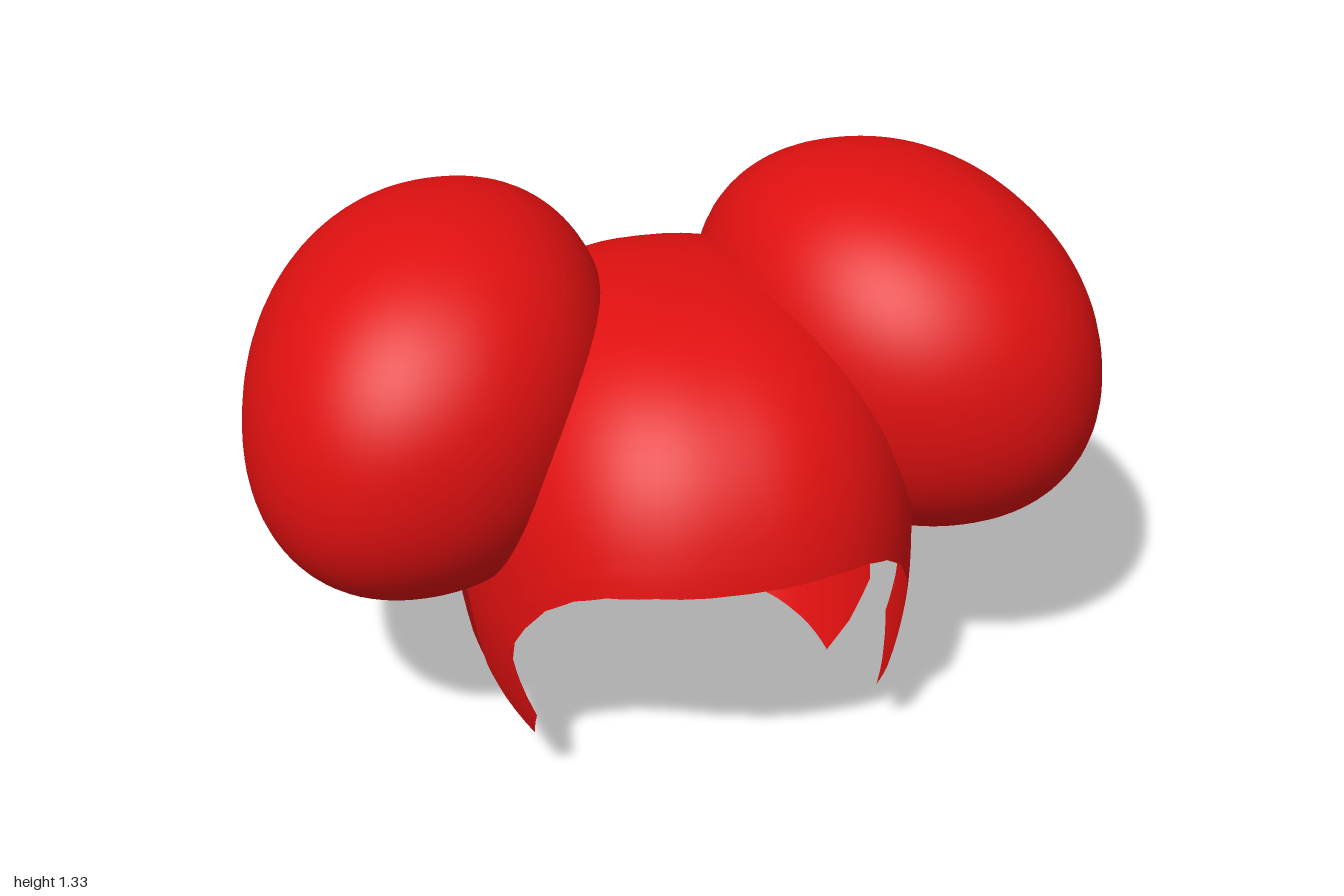
import * as THREE from 'three';

const TOP = 1.13;

// Horizontal section of the cap at height y: half-width, front depth, back depth
function section(y) {
  if (y >= 0.5) {
    const q = Math.min((y - 0.5) / (TOP - 0.5), 1);
    const r = Math.pow(1 - Math.pow(q, 2.5), 1 / 2.5);
    return { w: 0.53 * r, f: 0.65 * r, b: 0.64 * r };
  }
  const d = (0.5 - y) / 0.5;
  return { w: 0.53 - 0.12 * d * d, f: 0.65 - 0.18 * d * d, b: 0.64 - 0.2 * Math.pow(d, 1.6) };
}

// Angle around the cap (0 = front, PI = back) of a point at depth z and height y
function angleAt(z, y) {
  const s = section(y);
  return Math.acos(THREE.MathUtils.clamp(z > 0 ? z / s.f : z / s.b, -1, 1));
}

// Hemline from the front centre to the back centre: [depth higher up, hem depth, hem height]
const HEM = [
  [0.7, 0.7, 0.68], [0.61, 0.61, 0.68], [0.56, 0.56, 0.665], [0.51, 0.51, 0.635],
  [0.45, 0.45, 0.58], [0.39, 0.39, 0.5], [0.36, 0.35, 0.44], [0.335, 0.315, 0.34],
  [0.31, 0.36, 0.24], [0.25, 0.3, 0.15], [0.19, 0.2, 0.19], [0.15, 0.12, 0.23],
  [0.125, 0.12, 0.33], [0.1, 0.1, 0.42], [0.05, 0.05, 0.46], [-0.06, -0.06, 0.45],
  [-0.13, -0.14, 0.36], [-0.17, -0.03, 0.23], [-0.21, -0.05, 0.1], [-0.26, -0.08, 0],
  [-0.33, -0.18, 0.012], [-0.43, -0.3, 0.025], [-0.53, -0.4, 0.035], [-0.6, -0.44, 0.04],
  [-0.7, -0.7, 0.04],
];

// Open hair cap with a face opening, sideburns and ear notches
function capGeometry() {
  const SUB = 3, UPPER = 16, LOWER = 8;
  const keys = HEM.map(([zu, ze, ye]) => {
    const yu = Math.max(ye + 0.06, 0.52);
    return [angleAt(zu, yu), yu, angleAt(ze, ye), ye];
  });
  const half = [];
  for (let k = 0; k < keys.length - 1; k++)
    for (let s = 0; s < SUB; s++)
      half.push(keys[k].map((v, c) => THREE.MathUtils.lerp(v, keys[k + 1][c], s / SUB)));
  half.push(keys[keys.length - 1]);
  const mirrored = half.slice(1, -1).reverse().map(([au, yu, ae, ye]) => [-au, yu, -ae, ye]);
  const cols = [...half, ...mirrored];

  const pos = [], index = [], rows = UPPER + LOWER + 1;
  for (const [au, yu, ae, ye] of cols) {
    for (let i = 0; i < rows; i++) {
      let a = au, y;
      if (i <= UPPER) {
        y = TOP - (TOP - yu) * (1 - Math.cos((i / UPPER) * Math.PI / 2));
      } else {
        const t = (i - UPPER) / LOWER;
        a = THREE.MathUtils.lerp(au, ae, t * t);
        y = THREE.MathUtils.lerp(yu, ye, t);
      }
      // Sides a little flatter than an ellipse
      const s = section(y), c = Math.cos(a), n = Math.sin(a);
      pos.push(s.w * Math.sign(n) * Math.pow(Math.abs(n), 0.8), y, c * (c > 0 ? s.f : s.b));
    }
  }
  for (let j = 0; j < cols.length; j++) {
    const p = j * rows, q = ((j + 1) % cols.length) * rows;
    for (let i = 0; i < rows - 1; i++) {
      if (i > 0) index.push(p + i, p + i + 1, q + i);
      index.push(q + i, p + i + 1, q + i + 1);
    }
  }
  const g = new THREE.BufferGeometry();
  g.setAttribute('position', new THREE.Float32BufferAttribute(pos, 3));
  g.setIndex(index);
  g.computeVertexNormals();
  // The crown is one smooth point
  for (let j = 0; j < cols.length; j++) g.attributes.normal.setXYZ(j * rows, 0, 1, 0);
  return g;
}

function insideCap(x, y, z) {
  if (y >= TOP) return false;
  const s = section(y);
  return Math.abs(x / s.w) ** 2.5 + (z / (z > 0 ? s.f : s.b)) ** 2 < 0.985;
}

// Puffy, slightly leaning bun fitted to a box; side is +1 (left) or -1 (right)
function bunGeometry(side, min, max) {
  const g = new THREE.SphereGeometry(1, 72, 48);
  const p = g.attributes.position, n = g.attributes.normal;
  for (let i = 0; i < p.count; i++) {
    let x = p.getX(i), y = p.getY(i), z = p.getZ(i);
    const k = Math.pow(Math.abs(x) ** 2.15 + Math.abs(y) ** 2.15 + Math.abs(z) ** 2.15, -1 / 2.15);
    x *= k; y *= k; z *= k;
    p.setXYZ(i, x + side * (0.15 * z - 0.12 * y), y, z);
  }
  g.computeBoundingBox();
  const from = g.boundingBox.min.clone(), size = g.boundingBox.getSize(new THREE.Vector3());
  const fit = (v, c) => min[c] + (max[c] - min[c]) * (v - from.getComponent(c)) / size.getComponent(c);
  for (let i = 0; i < p.count; i++) p.setXYZ(i, fit(p.getX(i), 0), fit(p.getY(i), 1), fit(p.getZ(i), 2));
  g.computeVertexNormals();
  // Match the normals along the sphere's seam
  for (let r = 0; r <= 48; r++) {
    const a = r * 73, b = a + 72;
    const v = new THREE.Vector3().fromBufferAttribute(n, a)
      .add(new THREE.Vector3().fromBufferAttribute(n, b)).normalize();
    n.setXYZ(a, v.x, v.y, v.z);
    n.setXYZ(b, v.x, v.y, v.z);
  }
  // Leave out the faces hidden within the cap
  const hidden = (i) => insideCap(p.getX(i), p.getY(i), p.getZ(i));
  const idx = g.index.array, kept = [];
  for (let i = 0; i < idx.length; i += 3) {
    const t = [idx[i], idx[i + 1], idx[i + 2]];
    if (!t.every(hidden)) kept.push(...t);
  }
  g.setIndex(kept);
  return g;
}

export function createModel() {
  const red = new THREE.MeshStandardMaterial({ color: 0xe01010, side: THREE.DoubleSide });
  red.name = 'red hair';
  const group = new THREE.Group();
  group.name = 'hair';
  const add = (name, geometry) => {
    const mesh = new THREE.Mesh(geometry, red);
    mesh.name = name;
    group.add(mesh);
  };
  add('hairCap', capGeometry());
  add('leftBun', bunGeometry(1, [0.1, 0.435, -0.6], [1, 1.325, 0.42]));
  add('rightBun', bunGeometry(-1, [-1, 0.435, -0.595], [-0.13, 1.33, 0.44]));
  return group;
}
